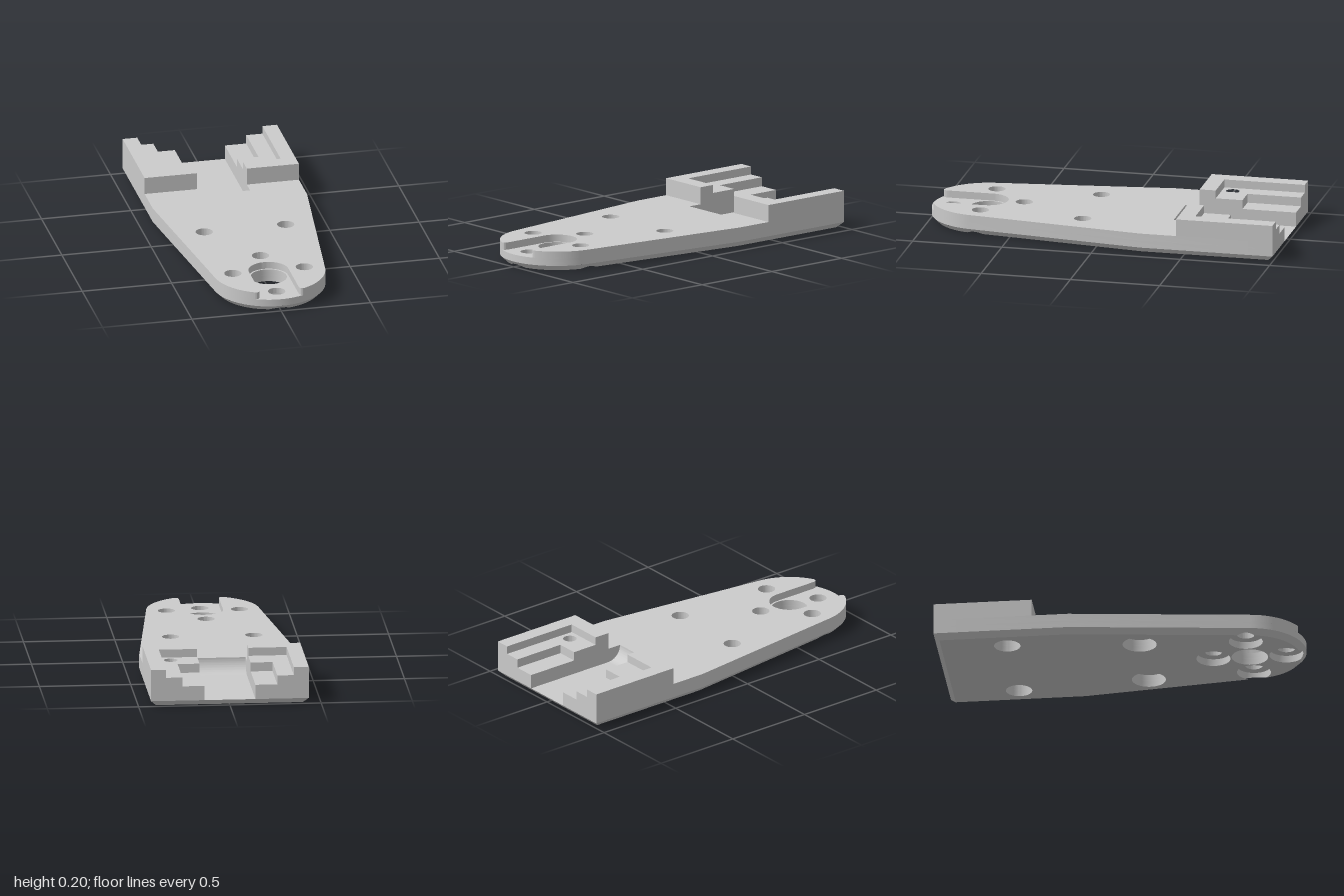
import * as THREE from 'three';
import { toCreasedNormals } from 'three/addons/utils/BufferGeometryUtils.js';

const PI = Math.PI;
const TIP_Z = 0.69, TIP_R = 0.31, CHAMFER = 0.03, TANGENT = 0.125; // rounded tip
const HALF_W = 0.432, SHOULDER = -0.26, CHANNEL = 0.14;
const BORE = 0.093, BORE_D = 0.2; // screw bores around the tip centre
const tipBores = [[0.2, 0.69], [-0.2, 0.69], [0, 0.89]];
const frontScrews = [...tipBores, [0, 0.49]];
const midScrews = [[0.228, 0.11], [-0.228, 0.11]];
const backScrews = [[0.29, -0.61], [-0.29, -0.61]];
const centre = [[0, TIP_Z]];

export function createModel() {
  const group = new THREE.Group();
  const material = new THREE.MeshStandardMaterial({ color: 0xcccccc });
  const add = (name, geometry) => {
    const mesh = new THREE.Mesh(toCreasedNormals(geometry, 0.5), material);
    mesh.name = name;
    group.add(mesh);
    return mesh;
  };
  const drill = (shape, centres, r) => {
    for (const [x, z] of centres) shape.holes.push(new THREE.Path().absarc(x, z, r, 0, 2 * PI, true));
    return shape;
  };
  // Shapes are drawn in plan (x, z) and extruded between two heights
  const slab = (name, shape, bottom, top) => {
    const g = new THREE.ExtrudeGeometry(shape, { depth: top - bottom, bevelEnabled: false, curveSegments: 24 });
    return add(name, g.rotateX(PI / 2).translate(0, top, 0));
  };
  const polygon = (pts) => new THREE.Shape(pts.map(([x, z]) => new THREE.Vector2(x, z)));
  // Closed band between two rings of [x, y, z] points
  const band = (name, a, b) => {
    const pos = [];
    a.forEach((p, i) => {
      const j = (i + 1) % a.length;
      pos.push(...p, ...b[i], ...a[j], ...a[j], ...b[i], ...b[j]);
    });
    const g = new THREE.BufferGeometry();
    g.setAttribute('position', new THREE.Float32BufferAttribute(pos, 3));
    return add(name, g);
  };

  // Plate outline, with the rear channel and optionally the front slot cut out
  const outline = (slotted) => {
    const s = new THREE.Shape();
    s.moveTo(CHANNEL, -1);
    s.lineTo(HALF_W, -1);
    s.lineTo(HALF_W, SHOULDER);
    if (slotted) {
      const lip = Math.acos(0.14 / TIP_R);
      s.absarc(0, TIP_Z, TIP_R, TANGENT, lip, false);
      s.quadraticCurveTo(0.11, 0.98, 0.11, 0.935);
      s.absarc(0, TIP_Z, 0.11, 0, -PI, true);
      s.lineTo(-0.11, 0.935);
      s.quadraticCurveTo(-0.11, 0.98, -0.14, TIP_Z + TIP_R * Math.sin(lip));
      s.absarc(0, TIP_Z, TIP_R, PI - lip, PI - TANGENT, false);
    } else {
      s.absarc(0, TIP_Z, TIP_R, TANGENT, PI - TANGENT, false);
    }
    s.lineTo(-HALF_W, SHOULDER);
    s.lineTo(-HALF_W, -1);
    s.lineTo(-CHANNEL, -1);
    s.lineTo(-CHANNEL, -0.38);
    s.lineTo(CHANNEL, -0.38);
    s.closePath();
    return s;
  };

  // Plate in three layers: counterbores, screw seats, top with slot
  let s = drill(outline(false), [...frontScrews, ...midScrews], BORE);
  slab('plateLower', drill(drill(s, backScrews, 0.072), centre, 0.1), 0.03, 0.04);
  s = drill(drill(outline(false), frontScrews, 0.047), midScrews, BORE);
  slab('plateMiddle', drill(drill(s, backScrews, 0.072), centre, 0.1), 0.04, 0.07);
  s = drill(outline(true), [...tipBores.slice(0, 2), [0, 0.49], ...midScrews], 0.047);
  slab('plateTop', drill(s, backScrews, 0.072), 0.07, 0.11);

  // Chamfered underside; the bores near the tip cut into the chamfer
  const slant = (phi) => Math.cos(Math.max(0, TANGENT - phi, phi - PI + TANGENT));
  const boreReach = (phi) => {
    let reach = 0;
    for (const k of [0, PI / 2, PI]) {
      const c = Math.cos(phi - k), q = BORE ** 2 - (BORE_D * Math.sin(phi - k)) ** 2;
      if (c > 0 && q > 0) reach = Math.max(reach, BORE_D * c + Math.sqrt(q));
    }
    return reach;
  };
  const inner = TIP_R - CHAMFER;
  const upper = [], lower = [], cap = [];
  let inBore = false;
  const at = (rho, phi, y) => [rho * Math.cos(phi), y, TIP_Z + rho * Math.sin(phi)];
  for (let i = 0; i <= 180; i++) {
    const phi = -0.3 + (PI + 0.6) * i / 180;
    const edge = inner / slant(phi), rho = Math.max(edge, boreReach(phi));
    upper.push(at(TIP_R / slant(phi), phi, CHAMFER));
    lower.push(at(rho, phi, rho * slant(phi) - inner));
    if (rho === edge) {
      cap.push([lower[i][0], lower[i][2]]);
    } else if (!inBore) {
      // Follow the inner side of the bore instead of the plate edge
      const k = Math.round(phi / (PI / 2) + 0.1) * PI / 2;
      const cx = BORE_D * Math.cos(k), cz = TIP_Z + BORE_D * Math.sin(k);
      for (let j = 0; j <= 32; j++) {
        const a = k - 0.656 - (2 * PI - 1.312) * j / 32;
        cap.push([cx + BORE * Math.cos(a), cz + BORE * Math.sin(a)]);
      }
    }
    inBore = rho !== edge;
  }
  for (const [sx, z] of [[-1, SHOULDER], [-1, -1], [1, -1], [1, SHOULDER]]) {
    const x = sx * (HALF_W - CHAMFER), zi = z === -1 ? z + CHAMFER : z;
    upper.push([sx * HALF_W, CHAMFER, z]);
    lower.push([x, 0, zi]);
    cap.push([x, zi]);
  }
  band('edgeChamfer', lower, upper);
  s = drill(polygon(cap), [[0, 0.49], ...midScrews], BORE);
  s = drill(drill(s, backScrews, 0.072), centre, 0.1);
  add('underside', new THREE.ShapeGeometry(s, 24).rotateX(PI / 2));

  // Hole walls through the chamfered layer
  const holeWall = ([cx, cz], r, clipped) => {
    const a = [], b = [];
    for (let i = 0; i < 48; i++) {
      const t = -2 * PI * i / 48, x = cx + r * Math.cos(t), z = cz + r * Math.sin(t);
      const y = clipped ? Math.max(0, Math.hypot(x, z - TIP_Z) - inner) : 0;
      a.push([x, y, z]);
      b.push([x, CHAMFER, z]);
    }
    band('holeWall', a, b);
  };
  tipBores.forEach((c) => holeWall(c, BORE, true));
  [[0, 0.49], ...midScrews].forEach((c) => holeWall(c, BORE, false));
  backScrews.forEach((c) => holeWall(c, 0.072, false));
  holeWall(centre[0], 0.1, false);

  // Rear channel floor and its curved end
  const floor = new THREE.PlaneGeometry(2 * CHANNEL, 0.62).rotateX(-PI / 2);
  add('channelFloor', floor.translate(0, CHAMFER, -0.69));
  const ramp = new THREE.Shape();
  ramp.moveTo(-0.38, 0.03);
  ramp.lineTo(-0.38, 0.11);
  ramp.absarc(-0.46, 0.11, 0.08, 0, -PI / 2, true);
  const rampGeo = new THREE.ExtrudeGeometry(ramp, { depth: 2 * CHANNEL, bevelEnabled: false, curveSegments: 16 });
  add('channelRamp', rampGeo.rotateY(-PI / 2).translate(CHANNEL, 0, 0));

  // Stepped clamp blocks on both sides of the channel
  const stepShape = (m, px, pz) => polygon([[HALF_W, -1], [HALF_W, -0.46], [CHANNEL, -0.46],
    [CHANNEL, pz], [px, pz], [px, -1]].map(([x, z]) => [m * x, z]));
  for (const [m, side] of [[1, 'left'], [-1, 'right']]) {
    slab(side + 'BlockStep', drill(stepShape(m, 0.26, -0.7), [[m * 0.29, -0.61]], 0.037), 0.11, 0.16);
    slab(side + 'BlockRim', stepShape(m, 0.35, -0.55), 0.16, 0.205);
  }
  return group;
}
